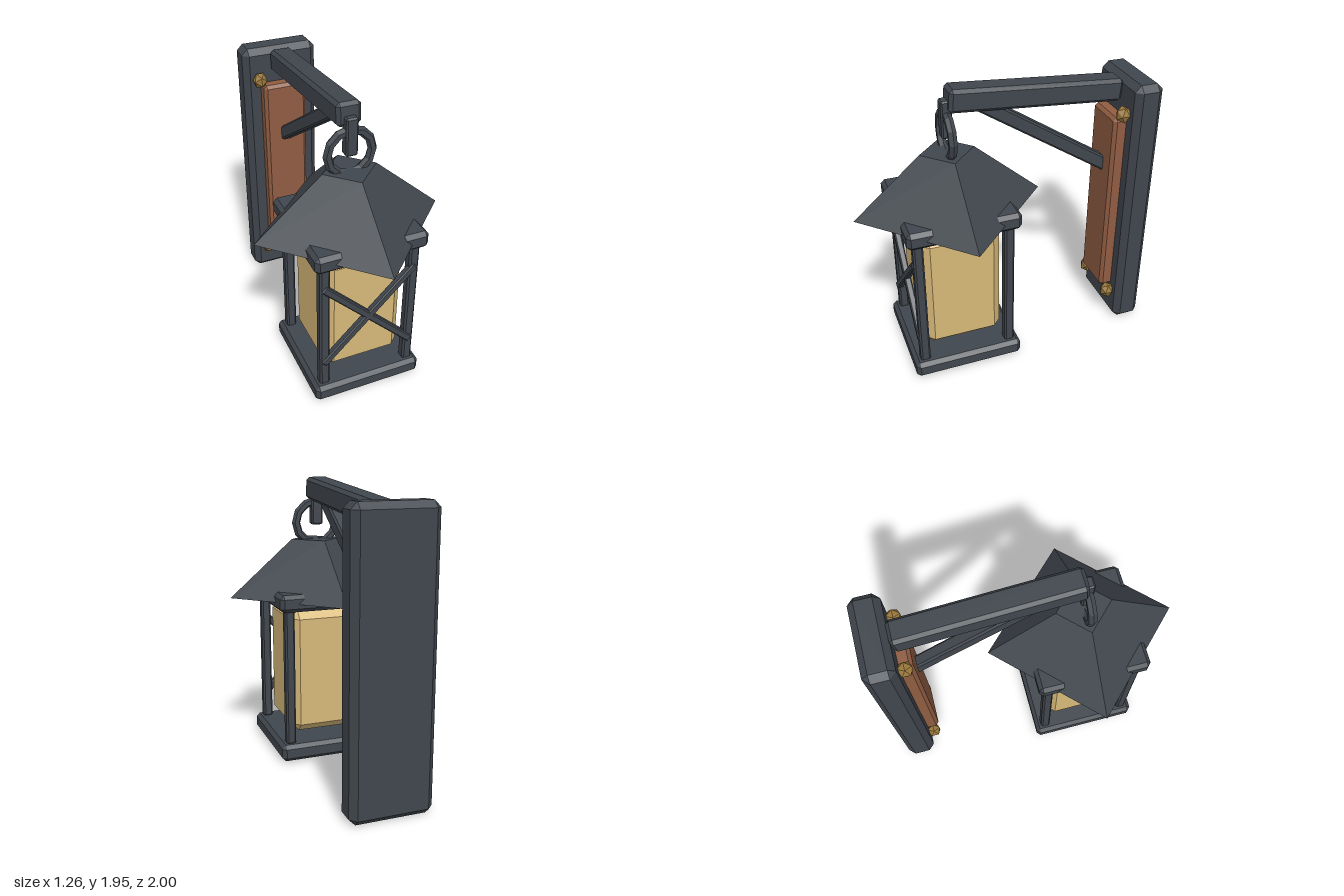
import * as THREE from 'three';
import { ConvexGeometry } from 'three/addons/geometries/ConvexGeometry.js';

const flat = (name, color) => {
  const m = new THREE.MeshStandardMaterial({ color, flatShading: true });
  m.name = name;
  return m;
};

// Box whose edges and corners are cut by a single flat bevel
function bevelBox(w, h, d, b) {
  const pts = [];
  for (const sx of [-1, 1]) for (const sy of [-1, 1]) for (const sz of [-1, 1]) {
    const x = w / 2, y = h / 2, z = d / 2;
    pts.push(
      new THREE.Vector3(sx * x, sy * (y - b), sz * (z - b)),
      new THREE.Vector3(sx * (x - b), sy * y, sz * (z - b)),
      new THREE.Vector3(sx * (x - b), sy * (y - b), sz * z));
  }
  return new ConvexGeometry(pts);
}

export function createModel() {
  const iron = flat('dark iron', 0x40464d);
  const amber = flat('amber glass', 0xd6b878);
  const wood = flat('reddish wood', 0x8f5c42);
  const brass = flat('brass', 0x9c7a3c);

  const model = new THREE.Group();
  model.name = 'wallLantern';
  const add = (name, geo, mat, x, y, z, parent = model) => {
    const mesh = new THREE.Mesh(geo, mat);
    mesh.name = name;
    mesh.position.set(x, y, z);
    parent.add(mesh);
    return mesh;
  };

  // Wall plate with wooden panel and brass studs
  add('wallPlate', bevelBox(0.54, 1.87, 0.195, 0.042), iron, 0, 0.935, -0.9025);
  add('woodPanel', bevelBox(0.31, 1.365, 0.12, 0.022), wood, 0, 0.94, -0.78);
  for (const x of [-0.17, 0.17]) for (const y of [0.225, 1.66]) {
    const stud = add('stud', new THREE.IcosahedronGeometry(0.052), brass, x, y, -0.768);
    stud.scale.y = 1.15;
  }

  // Sloping arm and the diagonal strut below it
  const arm = add('arm', bevelBox(0.16, 0.152, 1.17, 0.022), iron, 0, 1.829, -0.222);
  arm.rotation.x = -0.08;
  const dy = 0.61, dz = 0.93;
  const strut = add('strut', bevelBox(0.083, 0.095, Math.hypot(dy, dz), 0.012), iron, 0, 1.51, -0.315);
  strut.rotation.x = -Math.atan2(dy, dz);

  // Lantern, hung from the end of the arm
  const lantern = new THREE.Group();
  lantern.name = 'lantern';
  lantern.position.z = 0.37;
  model.add(lantern);
  const part = (name, geo, mat, x, y, z) => add(name, geo, mat, x, y, z, lantern);

  part('hook', bevelBox(0.078, 0.25, 0.072, 0.01), iron, 0, 1.745, 0);
  part('hangingRing', new THREE.TorusGeometry(0.147, 0.03, 6, 12), iron, 0, 1.635, 0);
  part('roof', new THREE.CylinderGeometry(0.18, 0.63, 0.391, 4), iron, 0, 1.3255, 0);
  part('topFrame', bevelBox(0.752, 0.118, 0.752, 0.026), iron, 0, 1.133, 0);
  part('base', bevelBox(0.752, 0.118, 0.752, 0.026), iron, 0, 0.074, 0);
  part('glass', bevelBox(0.54, 0.878, 0.54, 0.057), amber, 0, 0.617, 0);

  // Corner posts
  for (const x of [-0.302, 0.302]) for (const z of [-0.302, 0.302]) {
    part('cornerPost', bevelBox(0.068, 0.96, 0.068, 0.012), iron, x, 0.608, z);
  }

  // Crossed braces on the front
  for (const s of [-1, 1]) {
    const brace = part('crossBrace', bevelBox(0.05, 0.88, 0.046, 0.008), iron, 0, 0.62, 0.322);
    brace.rotation.z = s * Math.PI / 4;
  }
  return model;
}
